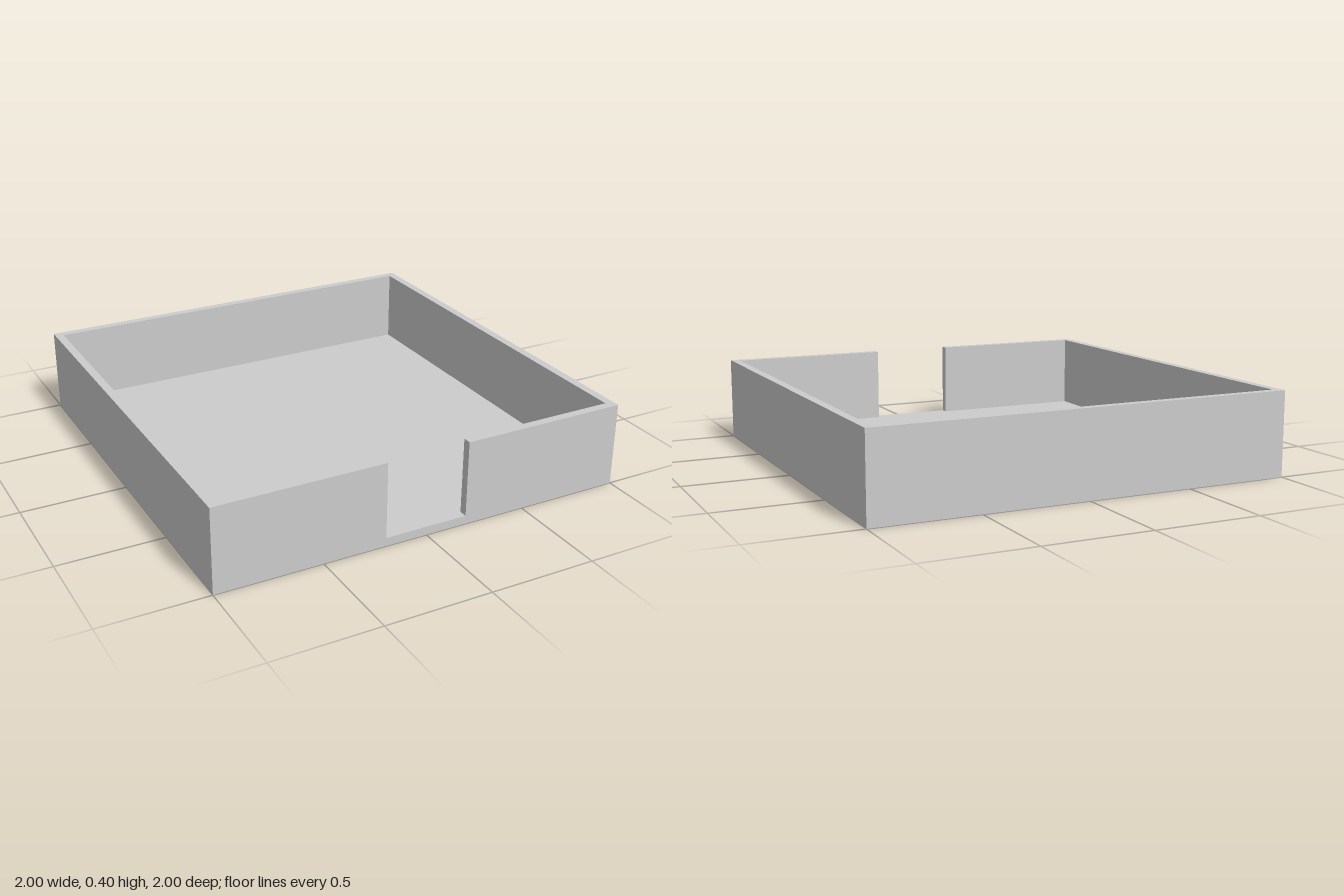
import * as THREE from 'three';

const HALF = 1;       // half of the square footprint
const HEIGHT = 0.4;
const WALL = 0.04;    // thickness of floor and walls
const GAP = 0.2;      // half width of the front opening

export function createModel() {
  const group = new THREE.Group();
  group.name = 'openTray';
  const material = new THREE.MeshStandardMaterial({ color: 0xcccccc, flatShading: true });

  // Extrudes a plan outline (x, z) upwards from a given height
  function addPlan(name, points, bottom, height) {
    const shape = new THREE.Shape(points.map(([x, z]) => new THREE.Vector2(x, -z)));
    const geometry = new THREE.ExtrudeGeometry(shape, { depth: height, bevelEnabled: false });
    geometry.rotateX(-Math.PI / 2);
    const mesh = new THREE.Mesh(geometry, material);
    mesh.name = name;
    mesh.position.y = bottom;
    group.add(mesh);
  }

  // Floor slab
  addPlan('floor', [[-HALF, HALF], [HALF, HALF], [HALF, -HALF], [-HALF, -HALF]], 0, WALL);

  // One continuous wall around the edge, open in the middle of the front
  const inner = HALF - WALL;
  const leftHalf = [[GAP, inner], [GAP, HALF], [HALF, HALF], [HALF, -HALF]];
  const mirror = ([x, z]) => [-x, z];
  const outerPath = [...leftHalf, ...leftHalf.map(mirror).reverse()];
  const innerPath = [[-inner, inner], [-inner, -inner], [inner, -inner], [inner, inner]];
  addPlan('surroundingWall', [...outerPath, ...innerPath], WALL, HEIGHT - WALL);

  return group;
}
